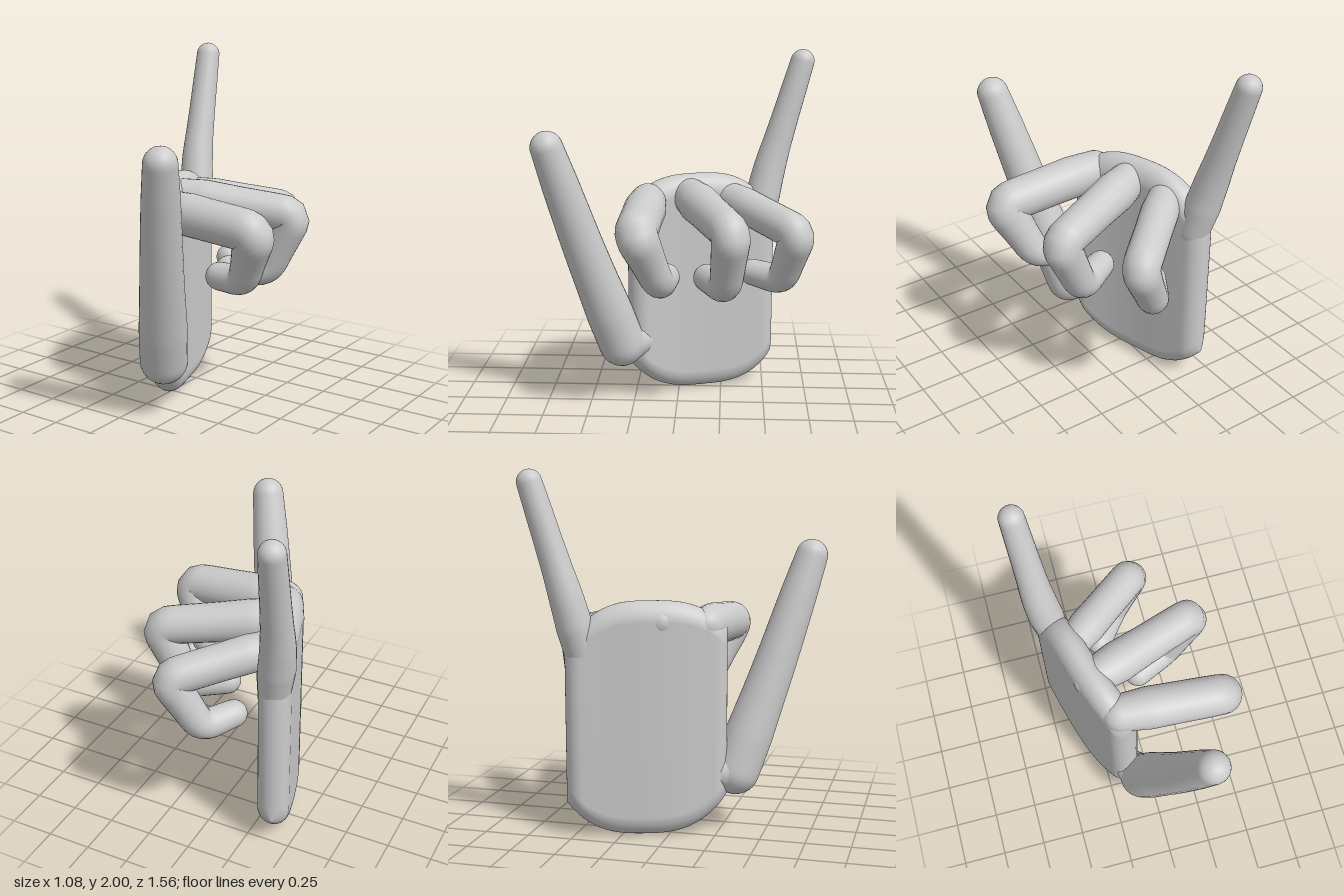
import * as THREE from 'three';
import { mergeVertices } from 'three/addons/utils/BufferGeometryUtils.js';

const V = (p) => new THREE.Vector3(...p);
const material = new THREE.MeshStandardMaterial({ color: 0xcccccc });

// Skin a list of closed rings, each counter-clockwise about the direction of travel
function loft(name, rings) {
  const n = rings[0].length;
  const index = [];
  for (let i = 0; i < rings.length - 1; i++) {
    for (let j = 0; j < n; j++) {
      const k = (j + 1) % n;
      const a = i * n + j, b = i * n + k, c = b + n, d = a + n;
      index.push(a, b, c, a, c, d);
    }
  }
  let geometry = new THREE.BufferGeometry().setFromPoints(rings.flat());
  geometry.setIndex(index);
  geometry = mergeVertices(geometry, 1e-4);
  geometry.computeVertexNormals();
  const mesh = new THREE.Mesh(geometry, material);
  mesh.name = name;
  return mesh;
}

// Stations along a curve with round ends: t, offset past the end, and scale 0..1
function stations(steps, capSteps = 8) {
  const list = [];
  for (let i = 0; i < capSteps; i++) {
    const a = (i / capSteps) * Math.PI / 2;
    list.push({ t: 0, push: -Math.cos(a), scale: Math.sin(a) });
  }
  for (let i = 0; i <= steps; i++) list.push({ t: i / steps, push: 0, scale: 1 });
  for (let i = capSteps - 1; i >= 0; i--) {
    const a = (i / capSteps) * Math.PI / 2;
    list.push({ t: 1, push: Math.cos(a), scale: Math.sin(a) });
  }
  return list;
}

// Straight bones joined by rounded knuckles
function bonePath(points, bend) {
  const p = points.map(V);
  const path = new THREE.CurvePath();
  let from = p[0];
  for (let i = 1; i < p.length - 1; i++) {
    const before = p[i].clone().add(p[i - 1].clone().sub(p[i]).setLength(bend));
    const after = p[i].clone().add(p[i + 1].clone().sub(p[i]).setLength(bend));
    path.add(new THREE.LineCurve3(from, before));
    path.add(new THREE.QuadraticBezierCurve3(before, p[i], after));
    from = after;
  }
  path.add(new THREE.LineCurve3(from, p[p.length - 1]));
  return path;
}

// Tapered round finger; radii are spread evenly along its length
function finger(name, points, radii, bend = 0.07) {
  const path = bonePath(points, bend);
  const steps = 48, sides = 24;
  const frames = path.computeFrenetFrames(steps, false);
  const rings = stations(steps).map(({ t, push, scale }) => {
    const f = t * (radii.length - 1);
    const i = Math.min(Math.floor(f), radii.length - 2);
    const r = THREE.MathUtils.lerp(radii[i], radii[i + 1], f - i);
    const s = Math.round(t * steps);
    const centre = path.getPointAt(t).addScaledVector(frames.tangents[s], push * r);
    return Array.from({ length: sides }, (_, j) => {
      const a = (j / sides) * Math.PI * 2;
      return centre.clone()
        .addScaledVector(frames.normals[s], r * scale * Math.cos(a))
        .addScaledVector(frames.binormals[s], r * scale * Math.sin(a));
    });
  });
  return loft(name, rings);
}

// Curved slab with rounded rims, swept from the little finger side to the thumb side
function palm() {
  const midline = new THREE.CatmullRomCurve3(
    [[-0.39, 0, -0.465], [-0.347, 0, -0.32], [-0.287, 0, -0.11], [-0.232, 0, 0.04], [-0.155, 0, 0.205]].map(V));
  const up = new THREE.Vector3(0, 1, 0);
  const sides = 40, rim = 0.12, half = 0.088;
  const rings = stations(24).map(({ t, push, scale }) => {
    const tangent = midline.getTangentAt(t);
    const across = up.clone().cross(tangent);
    const centre = midline.getPointAt(t).addScaledVector(tangent, push * half);
    const bottom = 0.2 * Math.abs((centre.z + 0.14) / 0.42) ** 3;
    const top = 1.3 - 0.22 * Math.abs((centre.z + 0.1) / 0.43) ** 3;
    return Array.from({ length: sides }, (_, j) => {
      const a = ((j + 0.5) / sides) * Math.PI * 2;
      const point = centre.clone().addScaledVector(across, half * scale * Math.cos(a));
      point.y = (Math.sin(a) > 0 ? top - rim : bottom + rim) + rim * Math.sin(a);
      return point;
    });
  });
  return loft('palm', rings);
}

export function createModel() {
  const hand = new THREE.Group();
  hand.name = 'hand';
  hand.add(
    palm(),
    // Raised digits
    finger('thumb', [[-0.065, 0.33, 0.325], [0.065, 0.9, 0.512], [0.2, 1.52, 0.695]],
      [0.135, 0.135, 0.125, 0.117, 0.11, 0.102, 0.09], 0.2),
    finger('littleFinger', [[-0.385, 1.0, -0.46], [-0.43, 1.28, -0.515], [-0.475, 1.93, -0.707]],
      [0.09, 0.1, 0.094, 0.084, 0.078, 0.074, 0.069], 0.15),
    // Web of the thumb
    finger('thumbWeb', [[-0.15, 0.33, 0.2], [-0.068, 0.33, 0.32]], [0.085, 0.13]),
    // Curled fingers: out from the knuckle, down, and back toward the palm
    finger('indexFinger',
      [[-0.15, 1.155, 0.175], [0.445, 1.105, 0.2], [0.305, 0.79, 0.085], [0.13, 0.785, 0.06]],
      [0.105, 0.12, 0.117, 0.116, 0.112, 0.096, 0.086, 0.08]),
    finger('middleFinger',
      [[-0.26, 1.18, -0.05], [0.39, 1.1, -0.305], [0.235, 0.755, -0.275], [0.04, 0.76, -0.17]],
      [0.1, 0.118, 0.111, 0.108, 0.105, 0.095, 0.088, 0.078]),
    finger('ringFinger',
      [[-0.32, 1.155, -0.28], [0.135, 1.045, -0.67], [-0.02, 0.735, -0.595], [-0.13, 0.75, -0.43]],
      [0.09, 0.105, 0.102, 0.102, 0.1, 0.09, 0.084, 0.076]),
  );
  return hand;
}
